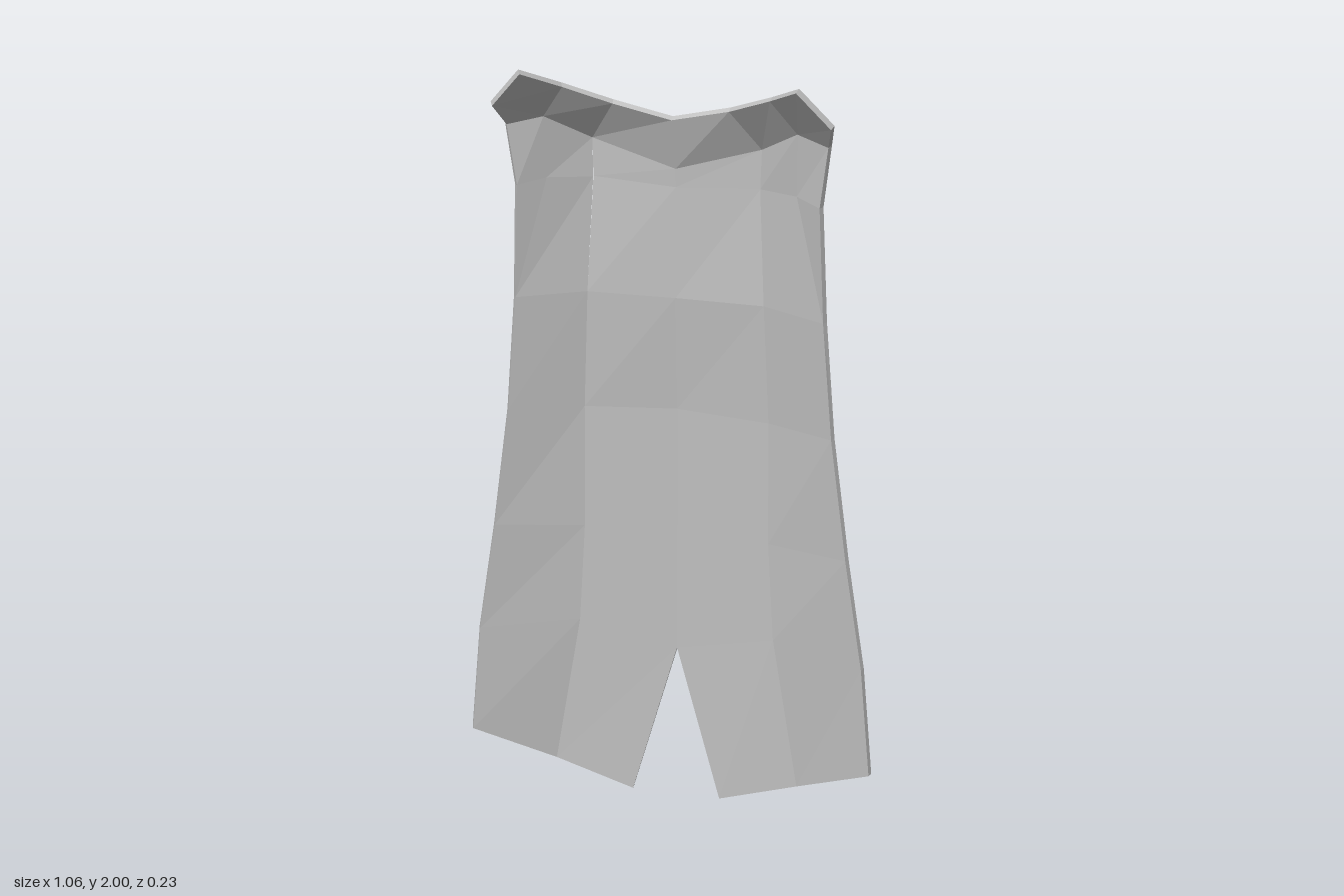
import * as THREE from 'three';

const THICKNESS = 0.014;

// Corners of the left half: C = spine, M = fold line, S = side edge, T = collar rim
const corners = {
  T0: [0, 1.865, -0.048], T1: [0.14, 1.9, -0.035], T2: [0.25, 1.95, 0.022], T3: [0.328, 2.0, 0.108],
  O: [0.405, 1.91, 0.078], L: [0.31, 1.86, -0.02], D1: [0.31, 1.7, -0.035],
  C0: [0, 1.73, -0.09], M0: [0.208, 1.79, -0.1], S0: [0.39, 1.845, 0.018],
  C1: [0, 1.68, -0.092], M1: [0.204, 1.69, -0.1], F1: [0.211, 1.69, -0.096], S1: [0.372, 1.69, 0.008],
  C2: [0, 1.4, -0.088], M2: [0.222, 1.4, -0.084], S2: [0.385, 1.4, -0.004],
  C3: [0, 1.1, -0.11], M3: [0.236, 1.09, -0.096], S3: [0.41, 1.1, -0.008],
  C4: [0, 0.78, -0.113], M4: [0.24, 0.76, -0.098], S4: [0.453, 0.78, -0.008],
  C5: [0, 0.43, -0.113], M5: [0.256, 0.49, -0.098], S5: [0.5, 0.48, -0.008],
  I6: [0.117, 0.0, -0.103], M6: [0.325, 0.07, -0.096], S6: [0.528, 0.18, -0.008],
};

// Outer faces of the left half, counter-clockwise seen from behind
const parts = {
  collar: ['T0 T1 M0 C0', 'T1 T2 L M0', 'T2 T3 O L', 'L O S0'],
  backPanel: ['C0 M0 M1 C1', 'C1 M1 M2 C2', 'C2 M2 M3 C3', 'C3 M3 M4 C4', 'C4 M4 M5 C5', 'C5 M5 M6 I6'],
  sidePanels: ['M0 L D1 F1', 'L S0 S1 D1', 'F1 D1 S2 M2', 'D1 S1 S2',
    'M2 S2 S3 M3', 'M3 S3 S4 M4', 'M4 S4 S5 M5', 'M5 S5 S6 M6'],
};

export function createModel() {
  const group = new THREE.Group();
  const cloth = new THREE.MeshStandardMaterial({ color: 0xc0c0c0 });
  cloth.name = 'grey cloth';
  cloth.flatShading = true;

  // Mirror the corners; those on the spine are shared
  const outer = {}, normal = {}, inner = {};
  for (const [id, [x, y, z]] of Object.entries(corners)) {
    outer[id] = new THREE.Vector3(x, y, z);
    if (x > 0) outer[id + 'r'] = new THREE.Vector3(-x, y, z);
  }
  for (const id in outer) normal[id] = new THREE.Vector3();
  const mirrored = (id) => (outer[id + 'r'] ? id + 'r' : id);

  // Mirror the faces, and collect corner normals and directed edges
  const edges = new Set();
  const faces = {};
  for (const [name, list] of Object.entries(parts)) {
    const half = list.map((f) => f.split(' '));
    faces[name] = [...half, ...half.map((f) => f.map(mirrored).reverse())];
    for (const f of faces[name]) {
      const n = new THREE.Vector3().subVectors(outer[f[1]], outer[f[0]])
        .cross(new THREE.Vector3().subVectors(outer[f[2]], outer[f[0]])).normalize();
      f.forEach((id, i) => {
        normal[id].add(n);
        edges.add(id + '>' + f[(i + 1) % f.length]);
      });
    }
  }
  for (const id in outer) {
    inner[id] = outer[id].clone().addScaledVector(normal[id].normalize(), -THICKNESS);
  }

  // Each part is a thin shell: outer face, lining, and a rim along open edges
  for (const [name, list] of Object.entries(faces)) {
    const points = [];
    const polygon = (p) => {
      for (let i = 1; i < p.length - 1; i++) points.push(p[0], p[i], p[i + 1]);
    };
    for (const f of list) {
      polygon(f.map((id) => outer[id]));
      polygon(f.map((id) => inner[id]).reverse());
      f.forEach((a, i) => {
        const b = f[(i + 1) % f.length];
        if (!edges.has(b + '>' + a)) polygon([outer[b], outer[a], inner[a], inner[b]]);
      });
    }
    const geometry = new THREE.BufferGeometry().setFromPoints(points);
    geometry.computeVertexNormals();
    const mesh = new THREE.Mesh(geometry, cloth);
    mesh.name = name;
    group.add(mesh);
  }
  group.name = 'cape';
  return group;
}
